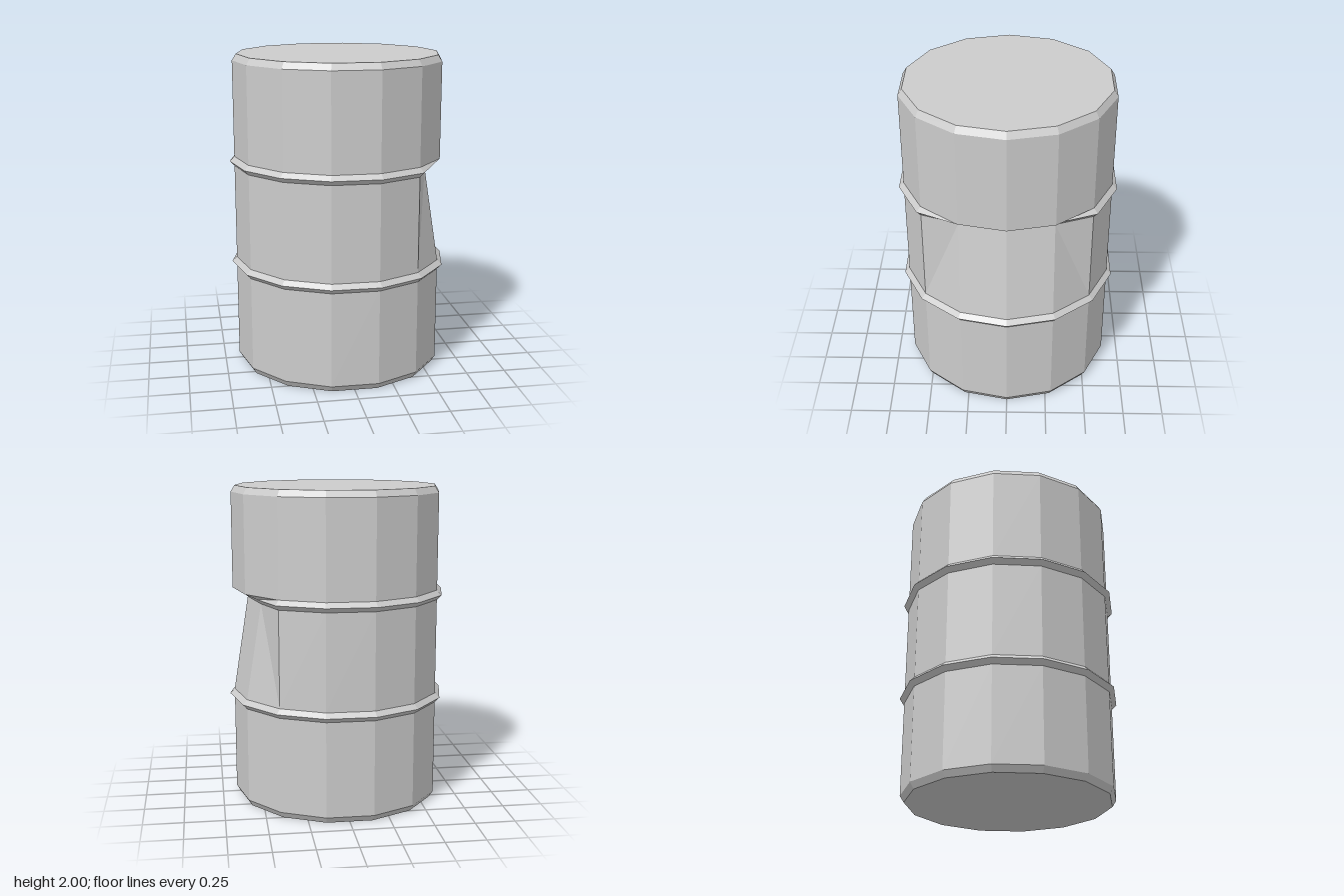
import * as THREE from 'three';

const SIDES = 14, BODY = 0.66, HOOP = 0.69, LID = 0.635, DENT = 0.095;

// Profile levels from bottom to top: [height, radius, inward push of the dent on the +x side]
const LEVELS = [
  [0, LID, 0], [0.04, BODY, 0],
  [0.64, BODY, 0], [0.67, HOOP, 0], [0.70, BODY, 0],
  [1.30, BODY, DENT], [1.33, HOOP, DENT], [1.36, BODY, 0],
  [1.96, BODY, 0], [2, LID, 0],
];

// Corner j of a level; the three corners nearest +x carry the dent
function corner(level, j) {
  const [y, r, push] = LEVELS[level];
  const k = (j + SIDES) % SIDES;
  const angle = (k / SIDES) * Math.PI * 2;
  const dented = k <= 1 || k === SIDES - 1;
  return [r * Math.cos(angle) - (dented ? push : 0), y, r * Math.sin(angle)];
}

function facetedMesh(name, triangles, material) {
  const geometry = new THREE.BufferGeometry();
  geometry.setAttribute('position', new THREE.Float32BufferAttribute(triangles.flat(2), 3));
  geometry.computeVertexNormals();
  const mesh = new THREE.Mesh(geometry, material);
  mesh.name = name;
  return mesh;
}

// Wall facets between two levels; mirrored lists sides whose diagonal runs the other way
function wall(name, from, to, material, mirrored = []) {
  const triangles = [];
  for (let i = from; i < to; i++) {
    for (let j = 0; j < SIDES; j++) {
      const a = corner(i, j), b = corner(i, j + 1);
      const c = corner(i + 1, j + 1), d = corner(i + 1, j);
      if (mirrored.includes(j)) triangles.push([a, d, c], [a, c, b]);
      else triangles.push([a, d, b], [d, c, b]);
    }
  }
  return facetedMesh(name, triangles, material);
}

// Flat end disc, facing up or down
function lid(name, level, up, material) {
  const centre = [0, LEVELS[level][0], 0];
  const triangles = [];
  for (let j = 0; j < SIDES; j++) {
    const p = corner(level, j), q = corner(level, j + 1);
    triangles.push(up ? [centre, q, p] : [centre, p, q]);
  }
  return facetedMesh(name, triangles, material);
}

export function createModel() {
  const material = new THREE.MeshStandardMaterial({ color: 0xcccccc, flatShading: true });
  const barrel = new THREE.Group();
  barrel.name = 'dentedBarrel';
  barrel.add(
    lid('bottomLid', 0, false, material),
    wall('bottomBevel', 0, 1, material),
    wall('lowerShell', 1, 2, material),
    wall('lowerHoop', 2, 4, material),
    wall('dentedMiddleShell', 4, 5, material, [SIDES - 2]),
    wall('upperHoop', 5, 7, material),
    wall('upperShell', 7, 8, material),
    wall('topBevel', 8, 9, material),
    lid('topLid', 9, true, material),
  );
  return barrel;
}
